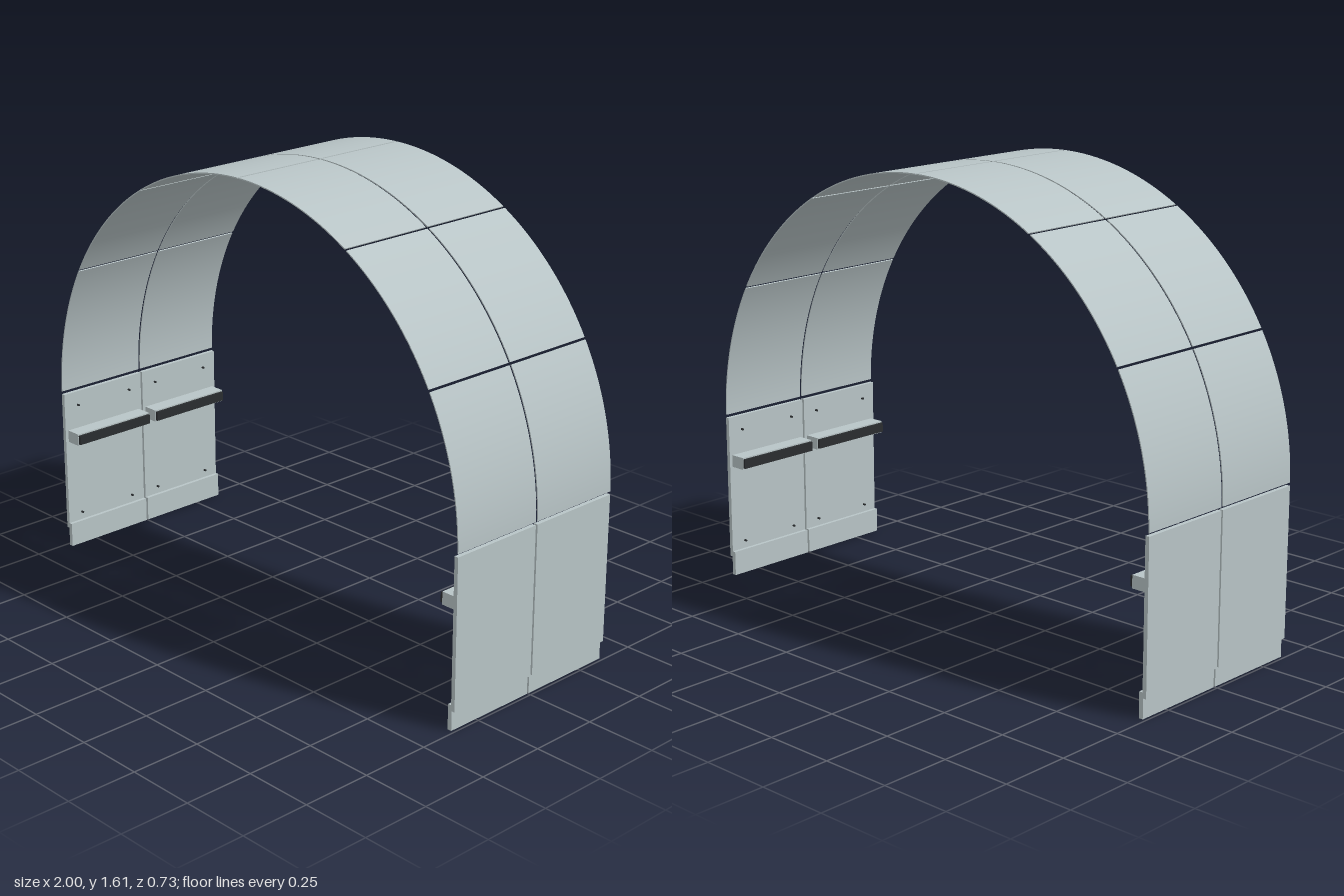
import * as THREE from 'three';
import { toCreasedNormals } from 'three/addons/utils/BufferGeometryUtils.js';

const panelGrey = new THREE.MeshStandardMaterial({ color: 0xb8c4c6 });
panelGrey.name = 'panelGrey';
const darkGrip = new THREE.MeshStandardMaterial({ color: 0x2a2d2f });
darkGrip.name = 'darkGrip';

const HALF_DEPTH = 0.363, GAP = 0.004;
const DEPTH = HALF_DEPTH - GAP;
const ROW_Z = (HALF_DEPTH + GAP) / 2;
const RADIUS = 1, SPRING_Y = 0.61, SKIN = 0.004;

// Box given by its limits in x and y, and its centre and length in z
function box(name, x0, x1, y0, y1, z, length, material = panelGrey) {
  const mesh = new THREE.Mesh(new THREE.BoxGeometry(x1 - x0, y1 - y0, length), material);
  mesh.position.set((x0 + x1) / 2, (y0 + y1) / 2, z);
  mesh.name = name;
  return mesh;
}

// Thin curved panel covering 30 degrees of the vault
function vaultGeometry() {
  const a0 = GAP, a1 = Math.PI / 6 - GAP;
  const shape = new THREE.Shape();
  shape.absarc(0, 0, RADIUS, a0, a1, false);
  shape.absarc(0, 0, RADIUS - SKIN, a1, a0, true);
  shape.closePath();
  const geometry = new THREE.ExtrudeGeometry(shape, { depth: DEPTH, bevelEnabled: false, curveSegments: 16 });
  geometry.translate(0, 0, -DEPTH / 2);
  return toCreasedNormals(geometry, 0.5);
}

// One side wall bay with skirting, handrail and screws; side is +1 or -1
function wallBay(side, z) {
  const bay = new THREE.Group();
  bay.name = side > 0 ? 'leftWallBay' : 'rightWallBay';
  const add = (name, inner, outer, y0, y1, length, material) =>
    bay.add(box(name, Math.min(side * inner, side * outer), Math.max(side * inner, side * outer), y0, y1, z, length, material));
  add('wallPanel', 0.985, 1, 0.07, 0.603, DEPTH);
  add('skirtingBoard', 0.972, 0.988, 0, 0.09, DEPTH);
  add('handrail', 0.926, 0.985, 0.415, 0.46, 0.335);
  add('handrailGrip', 0.917, 0.926, 0.42, 0.455, 0.33, darkGrip);

  // Screw heads on the inner face
  for (const y of [0.12, 0.55]) {
    for (const dz of [-0.12, 0.12]) {
      const screw = new THREE.Mesh(new THREE.CylinderGeometry(0.004, 0.004, 0.01, 10), darkGrip);
      screw.rotation.z = Math.PI / 2;
      screw.position.set(side * 0.981, y, z + dz);
      screw.name = 'screwHead';
      bay.add(screw);
    }
  }
  return bay;
}

export function createModel() {
  const model = new THREE.Group();
  model.name = 'archedPanelTunnel';
  const curved = vaultGeometry();

  for (const z of [-ROW_Z, ROW_Z]) {
    // Six vault panels from one wall over to the other
    for (let i = 0; i < 6; i++) {
      const panel = new THREE.Mesh(curved, panelGrey);
      panel.position.set(0, SPRING_Y, z);
      panel.rotation.z = i * Math.PI / 6;
      panel.name = 'vaultPanel';
      model.add(panel);
    }
    for (const side of [-1, 1]) model.add(wallBay(side, z));
  }
  return model;
}
